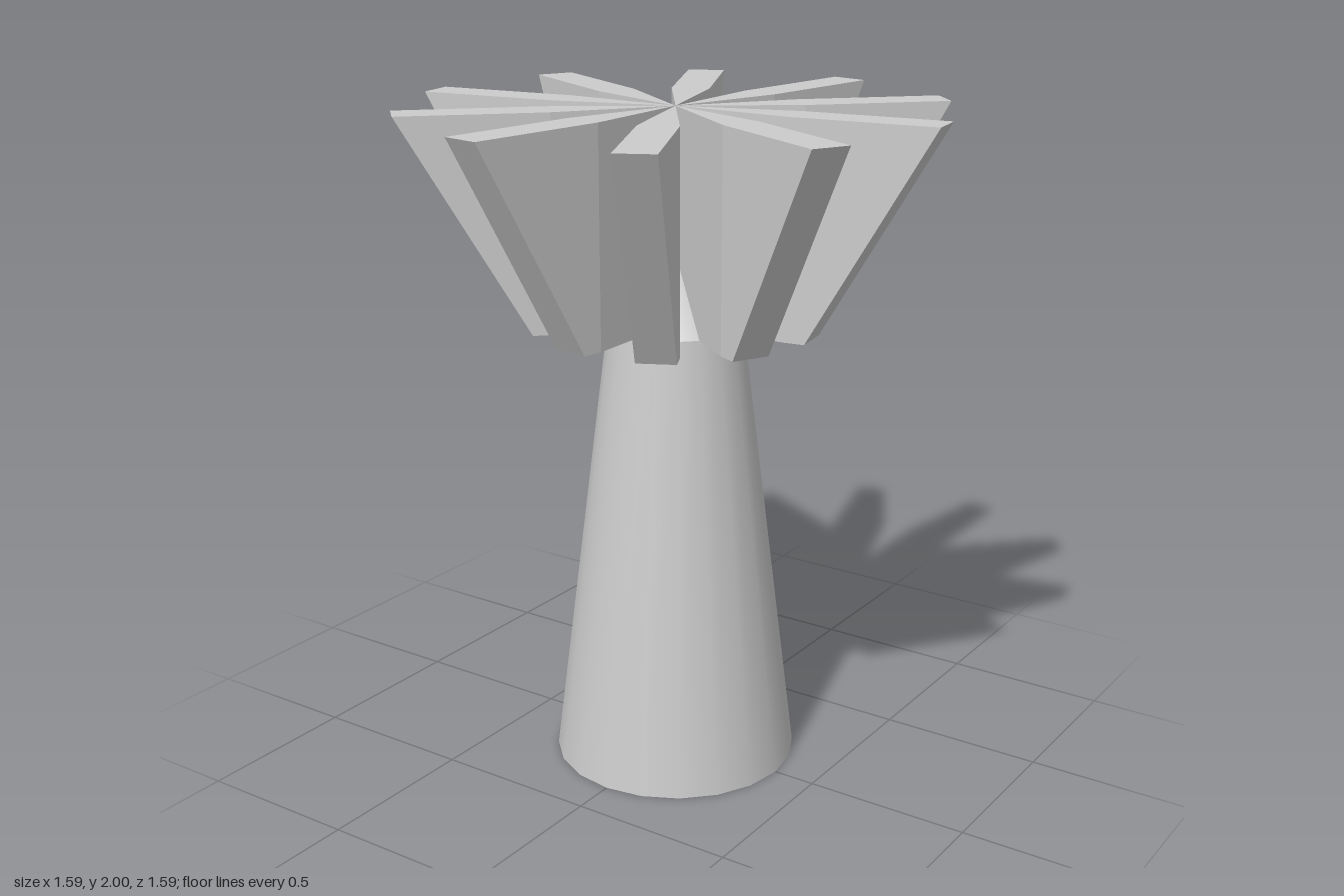
import * as THREE from 'three';

const material = new THREE.MeshStandardMaterial({ color: 0xcccccc });

const FINS = 10;
const SIDES = 20;
const BASE_Y = 1.365;      // underside of the fins
const HALF = 0.0575;       // half the fin thickness
const LOW = 0.426;         // fin reach at the bottom
const HIGH = 0.795;        // fin reach at the top

// Fin: a blade that narrows to a point on the axis and flares outward to the top
function finGeometry() {
  const height = 2 - BASE_Y;
  const kink = HALF / Math.tan(Math.PI / SIDES);
  const shape = new THREE.Shape([
    new THREE.Vector2(0, 0),
    new THREE.Vector2(kink, -HALF),
    new THREE.Vector2(LOW, -HALF),
    new THREE.Vector2(LOW, HALF),
    new THREE.Vector2(kink, HALF),
  ]);
  const geo = new THREE.ExtrudeGeometry(shape, { depth: height, bevelEnabled: false });
  geo.rotateX(-Math.PI / 2);
  const pos = geo.attributes.position;
  for (let i = 0; i < pos.count; i++) {
    if (pos.getX(i) > LOW - 0.01 && pos.getY(i) > height / 2) pos.setX(i, HIGH);
  }
  geo.computeVertexNormals();
  return geo;
}

export function createModel() {
  const group = new THREE.Group();
  group.name = 'finnedPedestal';

  const add = (name, geo, y) => {
    const mesh = new THREE.Mesh(geo, material);
    mesh.name = name;
    mesh.position.y = y;
    group.add(mesh);
    return mesh;
  };

  // Tapered trunk, closed below
  add('trunk', new THREE.CylinderGeometry(0.2, 0.37, BASE_Y, SIDES), BASE_Y / 2);

  // Small cone on the trunk, seen in the gaps between the fins
  const coneHeight = 0.21;
  add('hubCone', new THREE.ConeGeometry(0.2, coneHeight, SIDES, 1, true), BASE_Y + coneHeight / 2);

  // Ring of fins
  const fin = finGeometry();
  for (let i = 0; i < FINS; i++) {
    add(`fin${i + 1}`, fin, BASE_Y).rotation.y = Math.PI / SIDES + (i * 2 * Math.PI) / FINS;
  }
  return group;
}
